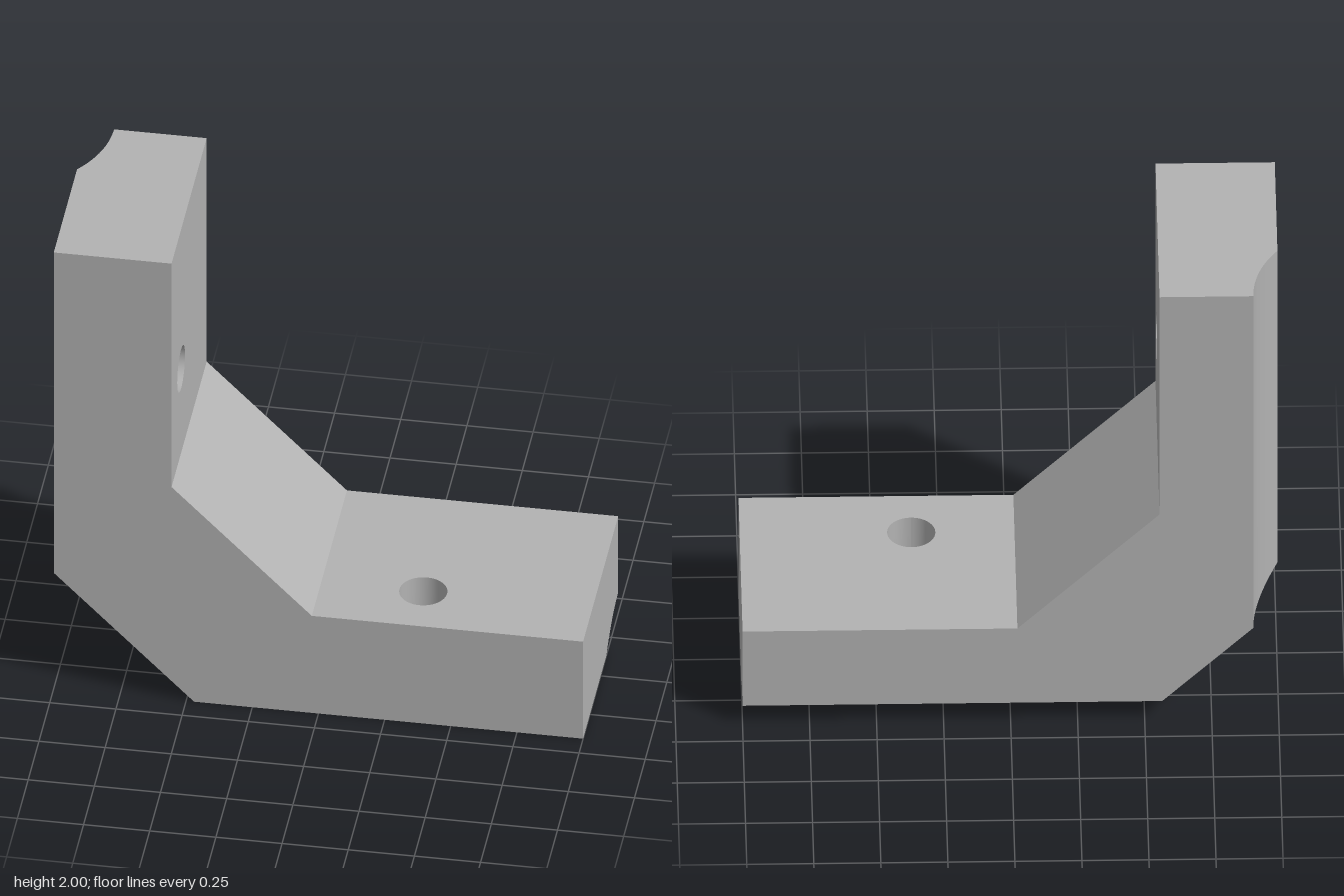
import * as THREE from 'three';
import { mergeGeometries } from 'three/addons/utils/BufferGeometryUtils.js';

const D = 0.407;      // half depth
const T = 0.445;      // arm thickness
const C = 0.53;       // outer corner chamfer
const B = 0.975;      // where the inner bevel meets each arm
const HOLE = { u: 1.36, z: 0.185, r: 0.09 };
const R = 0.445, CUT = 0.095; // radius and depth of the back-edge groove

const V = (x, y, z) => new THREE.Vector3(x, y, z);

// Cross-section of the scooped back edge: [z, depth], z increasing
const zEdge = -D + Math.sqrt(R * R - (R - CUT) ** 2);
const groove = [];
for (let i = 0; i <= 20; i++) {
  const a = Math.asin((zEdge + D) / R) * i / 20;
  groove.push([-D + R * Math.sin(a), Math.max(0, CUT - R + R * Math.cos(a))]);
}

function flipFaces(g) {
  const idx = g.index.array;
  for (let i = 0; i < idx.length; i += 3) [idx[i], idx[i + 1]] = [idx[i + 1], idx[i]];
}

// Flat face from a 2D outline, with an optional round hole, placed in space by map
function plate(points, map, flip, hole) {
  const shape = new THREE.Shape(points.map(([a, b]) => new THREE.Vector2(a, b)));
  if (hole) shape.holes.push(new THREE.Path().absarc(hole.z, hole.u, hole.r, 0, Math.PI * 2, true));
  const g = new THREE.ShapeGeometry(shape, 24);
  const p = g.attributes.position;
  for (let i = 0; i < p.count; i++) {
    const v = map(p.getX(i), p.getY(i));
    p.setXYZ(i, v.x, v.y, v.z);
  }
  if (flip) flipFaces(g);
  g.deleteAttribute('uv');
  g.computeVertexNormals();
  return g;
}

// Smooth strip between two matching rows of points
function ribbon(P, Q, flip) {
  const g = new THREE.BufferGeometry().setFromPoints([...P, ...Q]);
  const n = P.length, idx = [];
  for (let i = 0; i < n - 1; i++) idx.push(i, i + 1, n + i, i + 1, n + i + 1, n + i);
  g.setIndex(idx);
  if (flip) flipFaces(g);
  g.computeVertexNormals();
  return g;
}

// One arm: u runs along it, w goes inward from its outer face
function arm(at, flip) {
  const outer = plate([[zEdge, C], [D, C], [D, 2], [zEdge, 2]], (z, u) => at(u, 0, z), flip, HOLE);
  const inner = plate([[-D, B], [D, B], [D, 2], [-D, 2]], (z, u) => at(u, T, z), !flip, HOLE);
  const end = plate([...groove, [D, 0], [D, T], [-D, T]], (z, w) => at(2, w, z), flip);
  const scoop = ribbon(groove.map(([z, e]) => at(C - e, e, z)), groove.map(([z, e]) => at(2, e, z)), flip);
  const ring = (w) => Array.from({ length: 49 }, (_, i) => {
    const a = i / 48 * Math.PI * 2;
    return at(HOLE.u + HOLE.r * Math.sin(a), w, HOLE.z + HOLE.r * Math.cos(a));
  });
  const bore = ribbon(ring(0), ring(T), flip);
  return mergeGeometries([outer, inner, end, scoop, bore]);
}

// Side outline of the whole bracket, with the outer faces moved in by e
const outline = (e) => [
  [-1 + e, 2], [-1 + e, C - e], [-1 + C - e, e], [1, e],
  [1, T], [-1 + B, T], [-1 + T, B], [-1 + T, 2],
];

export function createModel() {
  const group = new THREE.Group();
  group.name = 'cornerBracket';
  const grey = new THREE.MeshStandardMaterial({ color: 0xb2b2b2 });
  grey.name = 'grey';
  const add = (name, geometry) => {
    const mesh = new THREE.Mesh(geometry, grey);
    mesh.name = name;
    group.add(mesh);
  };

  // The two arms mirror each other across the diagonal
  add('uprightArm', arm((u, w, z) => V(-1 + w, u, z), false));
  add('footArm', arm((u, w, z) => V(-1 + u, w, z), true));

  // Slanted faces at the corner
  const rows = [...groove, [D, 0]];
  add('outerChamfer', ribbon(
    rows.map(([z, e]) => V(-1 + C - e, e, z)),
    rows.map(([z, e]) => V(-1 + e, C - e, z))));
  add('innerBevel', ribbon(
    [V(-1 + T, B, -D), V(-1 + T, B, D)],
    [V(-1 + B, T, -D), V(-1 + B, T, D)]));

  // Front and back sides
  add('frontSide', plate(outline(0), (x, y) => V(x, y, D), false));
  add('backSide', plate(outline(CUT), (x, y) => V(x, y, -D), true));
  return group;
}
